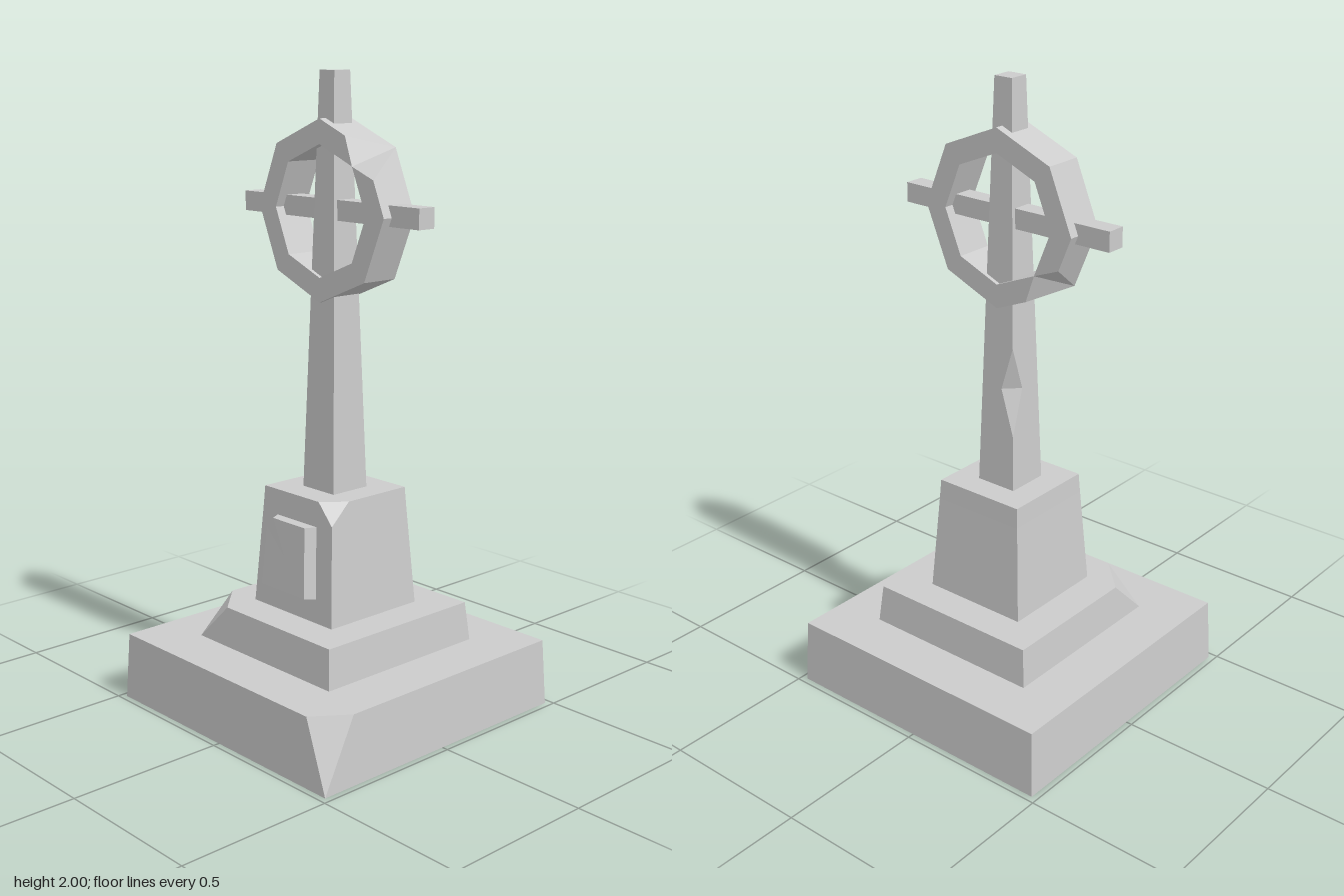
import * as THREE from 'three';

const material = new THREE.MeshStandardMaterial({ color: 0xcccccc, flatShading: true, side: THREE.DoubleSide });

// Skin a list of equal-length closed cross-sections, skipping collapsed triangles.
function loft(name, sections, closed = false) {
  const positions = [];
  const tri = (...corners) => {
    const [a, b, c] = corners.map((p) => new THREE.Vector3(...p));
    if (b.sub(a).cross(c.sub(a)).length() < 1e-8) return;
    corners.forEach((p) => positions.push(...p));
  };
  const count = closed ? sections.length : sections.length - 1;
  for (let i = 0; i < count; i++) {
    const a = sections[i], b = sections[(i + 1) % sections.length];
    for (let j = 0; j < a.length; j++) {
      const k = (j + 1) % a.length;
      tri(a[j], a[k], b[k]);
      tri(a[j], b[k], b[j]);
    }
  }
  const geometry = new THREE.BufferGeometry();
  geometry.setAttribute('position', new THREE.Float32BufferAttribute(positions, 3));
  geometry.computeVertexNormals();
  const mesh = new THREE.Mesh(geometry, material);
  mesh.name = name;
  return mesh;
}

// Square outline of half-width h at height y; one corner may be broken off by two cut lengths.
const CORNERS = [[-1, 1], [1, 1], [1, -1], [-1, -1]];
function square(h, y, broken = -1, cutIn = 0, cutOut = cutIn) {
  return CORNERS.flatMap(([x, z], i) => {
    const [px, pz] = CORNERS[(i + 3) % 4], [nx, nz] = CORNERS[(i + 1) % 4];
    const before = i === broken ? cutIn / 2 : 0, after = i === broken ? cutOut / 2 : 0;
    return [
      [x * h + (px - x) * before, y, z * h + (pz - z) * before],
      [x * h + (nx - x) * after, y, z * h + (nz - z) * after],
    ];
  });
}

// Octagonal wheel; two rim corners are broken away, one in front and one behind.
function wheel() {
  const cy = 1.585, depth = 0.063, outer = 0.275, inner = 0.2;
  const at = (r, angle, z) => [r * Math.cos(angle), cy + r * Math.sin(angle), z];
  const mix = (p, q, t) => p.map((v, i) => v + (q[i] - v) * t);
  const sections = [];
  for (let i = 0; i < 8; i++) {
    const angle = (i * Math.PI) / 4, step = Math.PI / 4;
    const ring = (z) => {
      const corner = at(outer, angle, z);
      return [
        mix(corner, at(outer, angle - step, z), 0.45),
        at(inner, angle, z),
        mix(corner, at(outer, angle + step, z), 0.43),
      ];
    };
    const front = i === 1 ? ring(depth) : Array(3).fill(at(outer, angle, depth));
    const back = i === 5 ? ring(-depth) : Array(3).fill(at(outer, angle, -depth));
    const stations = i === 1 || i === 5 ? 3 : 1;
    for (let s = 0; s < stations; s++) {
      sections.push([front[s], back[s], at(inner, angle, -depth), at(inner, angle, depth)]);
    }
  }
  return loft('wheel', sections, true);
}

// Tilted plaque with a chipped upper corner.
function plaque() {
  const back = [
    [-0.105, 0.415, 0.175], [0.105, 0.415, 0.175],
    [0.09, 0.64, 0.16], [-0.09, 0.64, 0.16], [-0.09, 0.64, 0.16],
  ];
  const front = [
    [-0.1, 0.425, 0.22], [0.1, 0.425, 0.22],
    [0.086, 0.645, 0.205], [-0.06, 0.645, 0.205], [-0.088, 0.615, 0.207],
  ];
  return loft('plaque', [back, front, front.map(() => [0, 0.535, 0.2125])]);
}

export function createModel() {
  const group = new THREE.Group();
  group.name = 'stoneCross';

  // Hollow stepped foot: each tier ends in a ledge reaching the next tier
  group.add(loft('base', [square(0.48, 0), square(0.47, 0.215, 1, 0.08, 0.11), square(0.305, 0.215)]));
  group.add(loft('step', [square(0.305, 0.215), square(0.293, 0.34, 0, 0.11, 0.11), square(0.18, 0.34)]));
  group.add(loft('plinth', [
    square(0.18, 0.34), square(0.159, 0.655), square(0.155, 0.72, 1, 0.06, 0.07), square(0.07, 0.72),
  ]));
  group.add(plaque());

  // Tapering shaft with a notch on one rear edge
  const width = (y) => 0.07 - ((y - 0.72) / 1.28) * 0.038;
  const level = (y, ...cut) => square(width(y), y, ...cut);
  group.add(loft('shaft', [
    level(0.72), level(0.9), level(1.05, 3, 0.045), level(1.19), level(2), square(0, 2),
  ]));

  // Cross arms and wheel
  const arms = new THREE.Mesh(new THREE.BoxGeometry(0.77, 0.062, 0.062), material);
  arms.name = 'arms';
  arms.position.y = 1.59;
  group.add(arms, wheel());
  return group;
}
